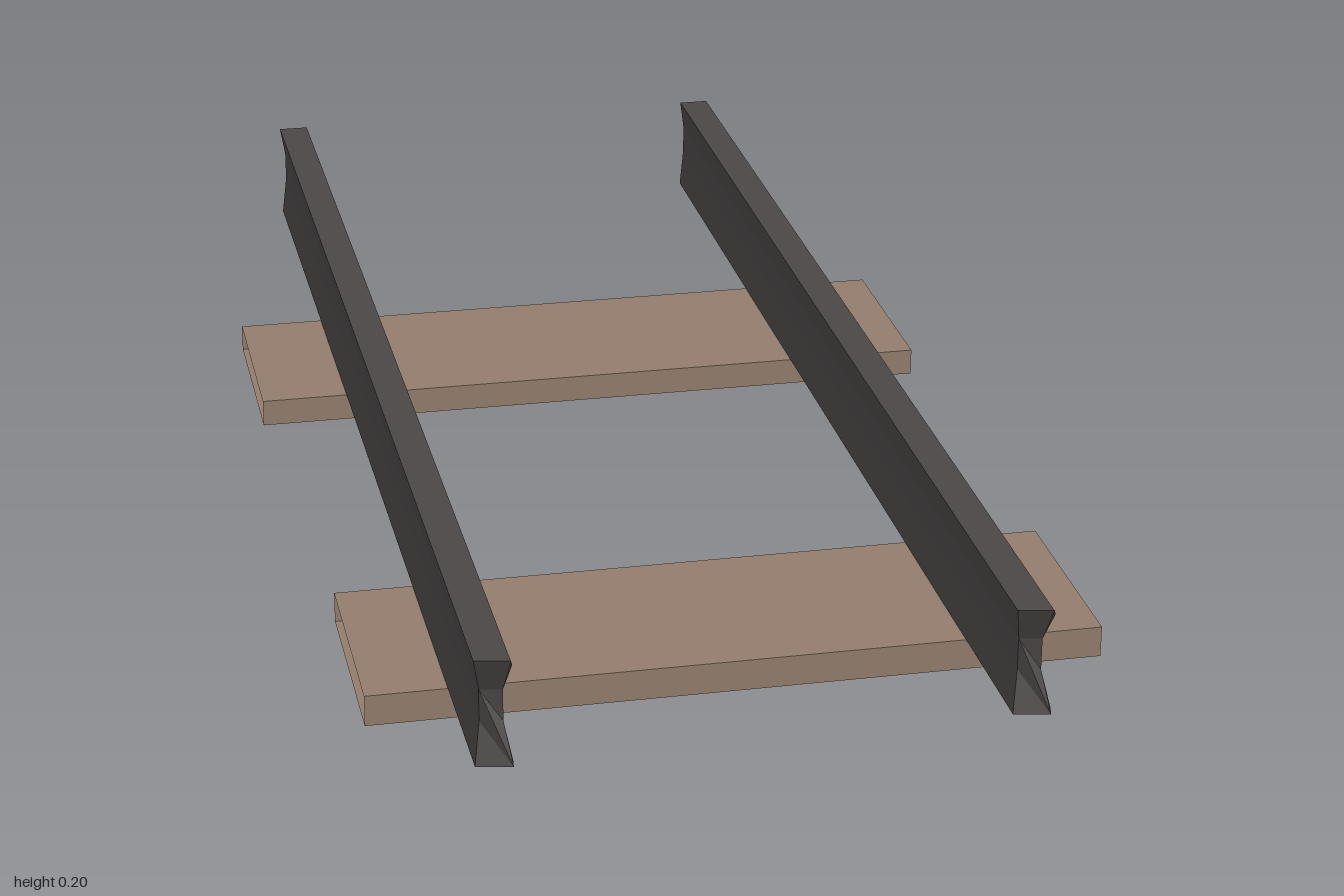
import * as THREE from 'three';

const steel = new THREE.MeshStandardMaterial({ color: 0x4a4746 });
steel.name = 'dark steel';
const wood = new THREE.MeshStandardMaterial({ color: 0x927c6c, side: THREE.DoubleSide });
wood.name = 'worn wood';

// Waisted rail, slightly skewed and rising towards the back
function makeRail(name, backX, frontX) {
  const outline = [[-0.024, 0], [0.024, 0], [0.0235, 0.008], [0.015, 0.055], [0.015, 0.1],
    [0.0235, 0.145], [0.022, 0.15], [-0.024, 0.15], [-0.015, 0.1], [-0.015, 0.055]];
  const shape = new THREE.Shape(outline.map(([x, y]) => new THREE.Vector2(x, y)));
  const geo = new THREE.ExtrudeGeometry(shape, { depth: 1, bevelEnabled: false });
  const p = geo.attributes.position;
  for (let i = 0; i < p.count; i++) {
    const x = p.getX(i), y = p.getY(i), t = p.getZ(i);
    const waist = y > 0.04 && y < 0.12 ? 1 : 0;
    // the web sits further back than the flanges at both ends
    const z = t > 0.5 ? 0.995 + x * 0.2 - waist * 0.02 : -0.985 - waist * 0.015;
    p.setXYZ(i, x + THREE.MathUtils.lerp(backX, frontX, t), y + 0.051 - 0.008 * t, z);
  }
  geo.computeVertexNormals();
  const mesh = new THREE.Mesh(geo, steel);
  mesh.name = name;
  return mesh;
}

// Plank with an open end on the -x side
function makeSleeper(name, x0, x1, y0, y1, z0, z1) {
  const geo = new THREE.BoxGeometry(x1 - x0, y1 - y0, z1 - z0);
  const index = Array.from(geo.index.array);
  index.splice(6, 6); // remove the -x face
  geo.setIndex(index);
  geo.clearGroups();
  geo.translate((x0 + x1) / 2, (y0 + y1) / 2, (z0 + z1) / 2);
  const mesh = new THREE.Mesh(geo, wood);
  mesh.name = name;
  return mesh;
}

export function createModel() {
  const track = new THREE.Group();
  track.name = 'railTrack';
  track.add(
    makeRail('rightRail', -0.367, -0.354),
    makeRail('leftRail', 0.336, 0.349),
    makeSleeper('frontSleeper', -0.49, 0.514, 0, 0.044, 0.476, 0.78),
    makeSleeper('backSleeper', -0.515, 0.514, 0.008, 0.048, -0.488, -0.184),
  );
  return track;
}
